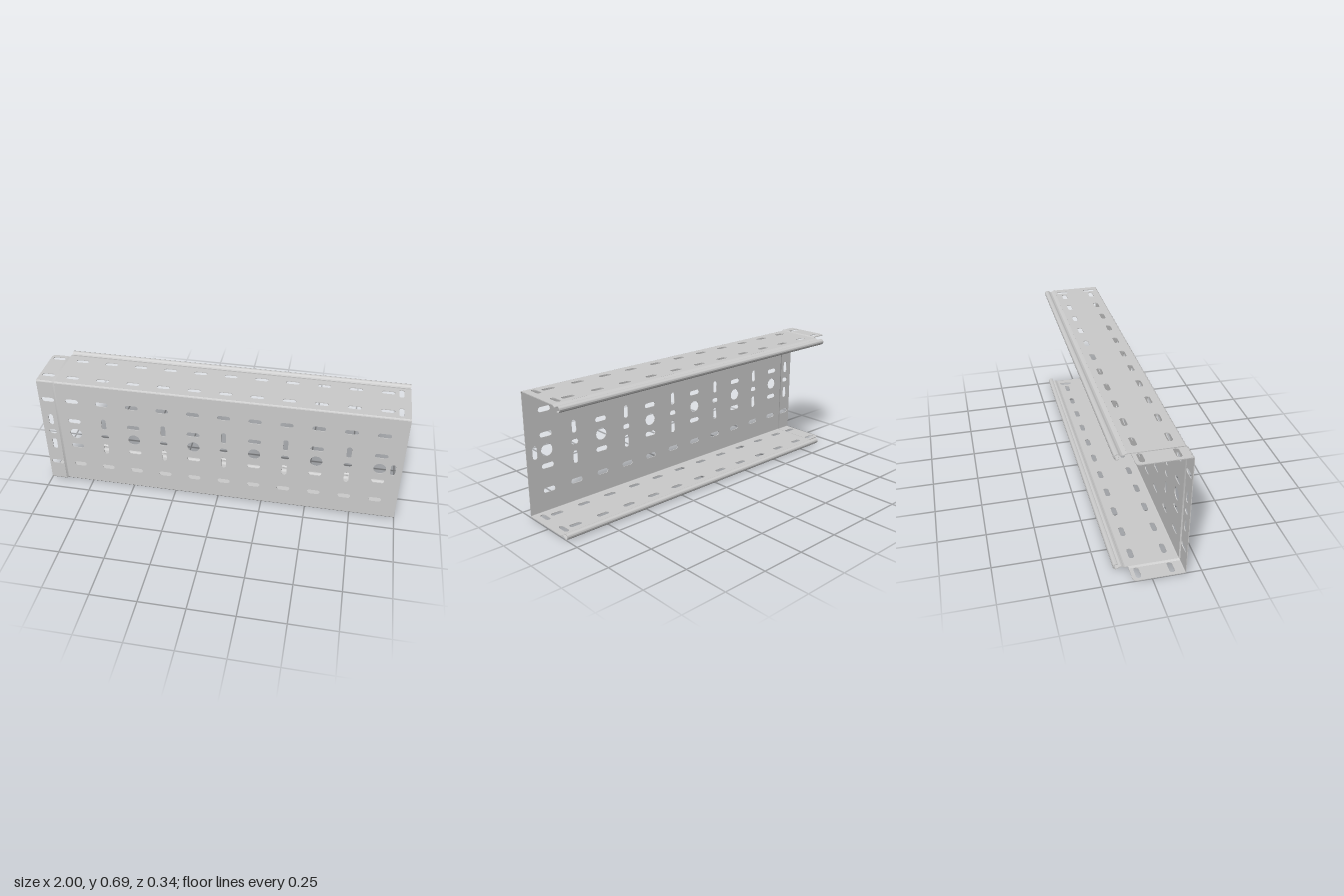
import * as THREE from 'three';
import { toCreasedNormals } from 'three/addons/utils/BufferGeometryUtils.js';

const T = 0.004;                    // sheet thickness
const R = 0.006;                    // bend radius at the middle of the sheet
const MID = 0.3435;                 // middle height
const HALF = 0.3375;                // middle height to flange mid-plane
const WEB_Z = 0.166;                // web mid-plane
const STEP = -0.9, STEP_END = -0.912; // joggle between body and lap end
const TAIL_BACK = -0.095, BODY_BACK = -0.11;
const SLOT_L = 0.071, SLOT_W = 0.027;

const material = new THREE.MeshStandardMaterial({ color: 0xcccccc, side: THREE.DoubleSide });

// Slot outline along x, or along y when upright; length = width gives a circle
function slot(x, y, length = SLOT_L, upright = false, width = SLOT_W) {
  const r = width / 2, d = Math.max(length / 2 - r, 0), p = new THREE.Path();
  if (upright) {
    p.absarc(x, y + d, r, 0, Math.PI).absarc(x, y - d, r, Math.PI, 2 * Math.PI);
  } else {
    p.absarc(x + d, y, r, -Math.PI / 2, Math.PI / 2).absarc(x - d, y, r, Math.PI / 2, 1.5 * Math.PI);
  }
  return p.closePath();
}

// Flat sheet with holes; corner rounds its (x0, y1) corner
function sheet(x0, x1, y0, y1, holes, corner = 0) {
  const s = new THREE.Shape();
  s.moveTo(x0, y0).lineTo(x1, y0).lineTo(x1, y1);
  if (corner) s.lineTo(x0 + corner, y1).absarc(x0 + corner, y1 - corner, corner, Math.PI / 2, Math.PI);
  else s.lineTo(x0, y1);
  s.closePath();
  s.holes = holes;
  const g = new THREE.ExtrudeGeometry(s, { depth: T, bevelEnabled: false, curveSegments: 10 });
  return g.translate(0, 0, -T / 2);
}

// Bent strip: thickens a (z, y) centre line and runs it along x
function strip(points, x0, x1) {
  const sides = [[], []];
  points.forEach((p, i) => {
    const a = points[Math.max(i - 1, 0)], b = points[Math.min(i + 1, points.length - 1)];
    const n = new THREE.Vector2(-(b.y - a.y), b.x - a.x).normalize().multiplyScalar(T / 2);
    sides[0].push(new THREE.Vector2(-(p.x + n.x), p.y + n.y));
    sides[1].unshift(new THREE.Vector2(-(p.x - n.x), p.y - n.y));
  });
  const shape = new THREE.Shape([...sides[0], ...sides[1]]);
  const g = new THREE.ExtrudeGeometry(shape, { depth: x1 - x0, bevelEnabled: false });
  return g.rotateY(Math.PI / 2).translate(x0, 0, 0);
}

// Quarter bend between flange and web; side is +1 at the top, -1 at the bottom
function bend(side, out) {
  return Array.from({ length: 9 }, (_, i) => {
    const a = Math.PI / 2 * (1 - i / 8);
    return new THREE.Vector2(WEB_Z + out - R + R * Math.cos(a), MID + side * (HALF + out - R + R * Math.sin(a)));
  });
}

// Flange lip: a dip, then an open round curl
function lip(side) {
  const pts = [[-0.11, 0.681], [-0.117, 0.6797], [-0.124, 0.6753], [-0.131, 0.6735], [-0.139, 0.6755]];
  for (let i = 0; i <= 12; i++) {
    const a = 0.9 + (5.3 - 0.9) * i / 12;
    pts.push([-0.1555 + 0.0145 * Math.cos(a), 0.669 + 0.0145 * Math.sin(a)]);
  }
  const curve = new THREE.SplineCurve(pts.map(([z, y]) => new THREE.Vector2(z, MID + side * (y - MID))));
  return curve.getPoints(56);
}

// Hole columns of the web: round-hole and upright-slot columns alternate
function webColumn(x, round) {
  const c = 0.345, holes = [slot(x, c + 0.22), slot(x, c - 0.22)];
  for (const s of [1, -1]) holes.push(slot(x, c + s * 0.0855, SLOT_L, !round));
  holes.push(round ? slot(x, c, 0.067, false, 0.067) : slot(x, c, 0.043));
  return holes;
}

// Flange holes, drawn in (x, -z)
const flangeColumn = (x, upright = false) => [slot(x, 0.062, SLOT_L, upright), slot(x, -0.108, SLOT_L, upright)];

export function createModel() {
  const model = new THREE.Group();
  model.name = 'perforatedChannel';
  const add = (parent, name, geometry) => {
    const mesh = new THREE.Mesh(toCreasedNormals(geometry, 0.6), material);
    mesh.name = name;
    parent.add(mesh);
  };

  const columns = Array.from({ length: 11 }, (_, i) => -0.813 + i * 0.1694);
  const sections = [
    { name: 'body', x0: STEP, x1: 1, out: 0, back: BODY_BACK, corner: 0,
      web: () => [...columns.flatMap((x, i) => webColumn(x, i % 2 === 0)), slot(0.951, 0.345, SLOT_L, true)],
      flange: () => [...columns.flatMap(x => flangeColumn(x)), ...flangeColumn(0.95, true)] },
    { name: 'lapEnd', x0: -1, x1: STEP_END, out: T, back: TAIL_BACK, corner: 0.022,
      web: () => webColumn(-0.949, false), flange: () => flangeColumn(-0.949) },
  ];

  // Body and the slightly larger lap end
  for (const s of sections) {
    const group = new THREE.Group();
    group.name = s.name;
    model.add(group);
    const h = HALF + s.out;
    add(group, 'web', sheet(s.x0, s.x1, MID - h + R, MID + h - R, s.web()).translate(0, 0, WEB_Z + s.out));
    for (const [side, label] of [[1, 'top'], [-1, 'bottom']]) {
      const flange = sheet(s.x0, s.x1, -(WEB_Z + s.out - R), -s.back, s.flange(), s.corner);
      add(group, label + 'Flange', flange.rotateX(-Math.PI / 2).translate(0, MID + side * h, 0));
      add(group, label + 'Bend', strip(bend(side, s.out), s.x0, s.x1));
      if (s.name === 'body') add(group, label + 'Lip', strip(lip(side), s.x0, s.x1));
    }
  }

  // Joggle: body section whose far end is pushed outward to meet the lap end
  const path = [
    new THREE.Vector2(TAIL_BACK, MID + HALF), ...bend(1, 0),
    ...bend(-1, 0).reverse(), new THREE.Vector2(TAIL_BACK, MID - HALF),
  ];
  const joggle = strip(path, STEP_END, STEP);
  const p = joggle.attributes.position;
  for (let i = 0; i < p.count; i++) {
    if (p.getX(i) > (STEP + STEP_END) / 2) continue;
    p.setY(i, p.getY(i) + T * Math.sign(p.getY(i) - MID));
    if (p.getZ(i) > 0) p.setZ(i, p.getZ(i) + T);
  }
  add(model, 'joggle', joggle);
  return model;
}
